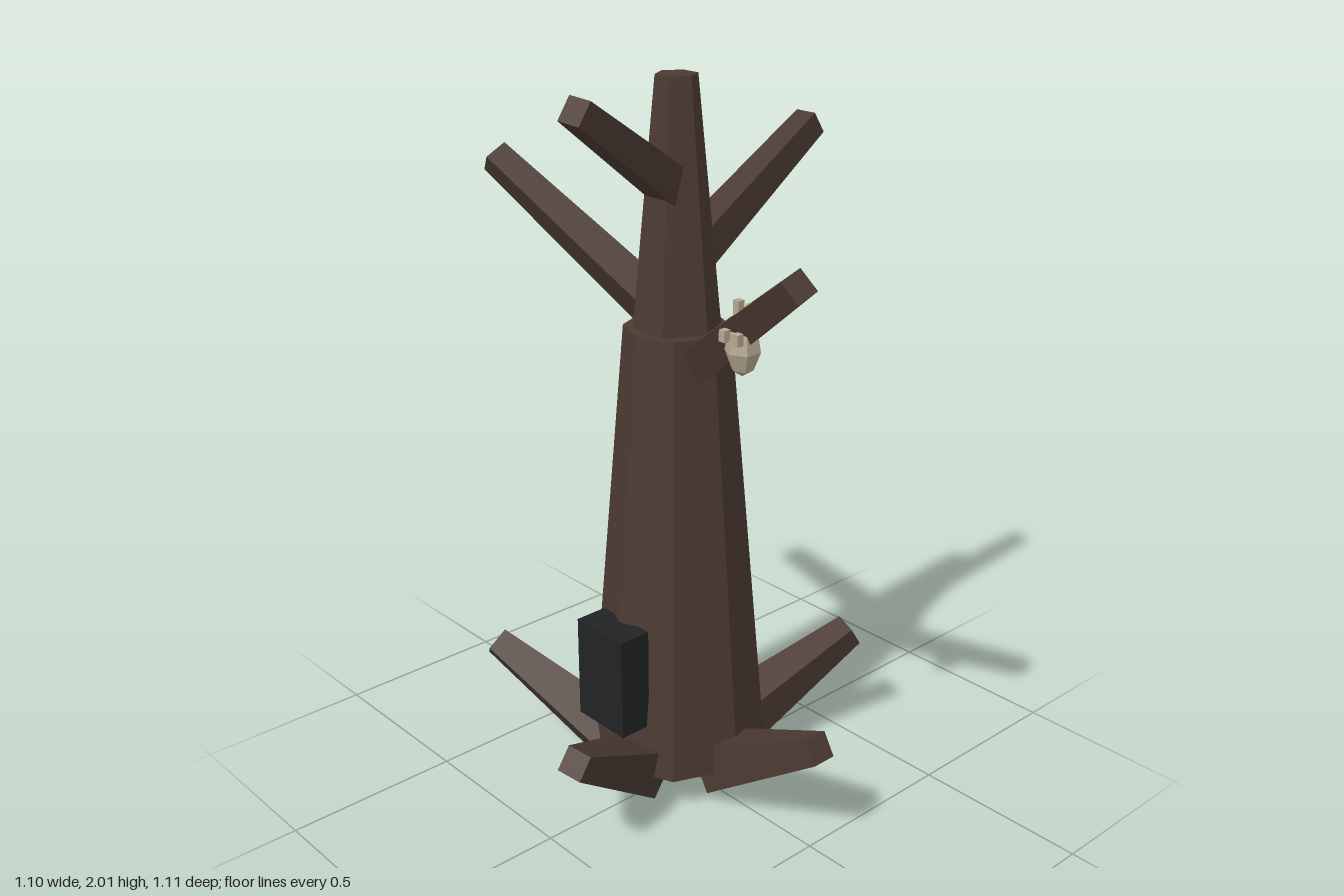
import * as THREE from 'three';

const material = (name, color) => {
  const m = new THREE.MeshStandardMaterial({ color, flatShading: true });
  m.name = name;
  return m;
};

export function createModel() {
  const model = new THREE.Group();
  model.name = 'deadTree';
  const bark = material('darkBark', 0x4b3a32);
  const black = material('hollowBlack', 0x212324);
  const bone = material('paleBone', 0xb5a88f);
  const cx = -0.035; // trunk axis

  const add = (name, geometry, mat, x, y, z) => {
    const mesh = new THREE.Mesh(geometry, mat);
    mesh.name = name;
    mesh.position.set(x, y, z);
    model.add(mesh);
    return mesh;
  };

  // Four-sided tapering limb leaning along a direction (x tilt applied after z tilt)
  const limb = (name, centre, dir, length, rTip, rBase) => {
    const mesh = add(name, new THREE.CylinderGeometry(rTip, rBase, length, 4, 1, false, Math.PI / 4), bark, ...centre.toArray());
    mesh.rotation.set(Math.atan2(dir.z, dir.y), 0, -Math.asin(dir.x));
  };

  // Trunk
  add('lowerTrunk', new THREE.CylinderGeometry(0.142, 0.25, 1.25, 8), bark, cx, 0.725, 0);
  add('upperTrunk', new THREE.CylinderGeometry(0.055, 0.118, 0.65, 6, 1, false, Math.PI / 6), bark, cx, 1.675, 0);

  // Five roots around the base
  const lean = 1.04;
  for (let i = 0; i < 5; i++) {
    const a = (i / 5) * Math.PI * 2;
    const rx = Math.sin(a) * lean;
    const rz = -Math.cos(a) * lean;
    const dir = new THREE.Vector3(-Math.sin(rz), Math.cos(rz) * Math.cos(rx), Math.cos(rz) * Math.sin(rx));
    const centre = new THREE.Vector3(cx + Math.cos(a) * 0.362, 0.203, Math.sin(a) * 0.362);
    limb('root' + (i + 1), centre, dir, 0.455, 0.05, 0.1);
  }

  // Branches, from base point to tip point
  const branches = [
    ['leftBranch', [0.085, 1.29, 0.02], [0.53, 1.61, 0.135]],
    ['rightBranch', [-0.1, 1.4, 0.03], [-0.53, 1.745, 0.205]],
    ['backBranch', [-0.033, 1.53, -0.04], [-0.033, 1.82, -0.48]],
    ['frontBranch', [-0.03, 1.72, 0.02], [0.05, 1.97, 0.39]],
  ];
  for (const [name, from, to] of branches) {
    const a = new THREE.Vector3(...from);
    const b = new THREE.Vector3(...to);
    const dir = b.clone().sub(a);
    const length = dir.length();
    limb(name, a.add(b).multiplyScalar(0.5), dir.normalize(), length, 0.047, 0.067);
  }

  // Dark hollow at the foot of the trunk
  add('hollow', new THREE.BoxGeometry(0.185, 0.295, 0.095), black, cx, 0.3975, 0.2375);

  // Pale ornament hanging under the left branch
  const profile = [[0, -0.06], [0.028, -0.042], [0.046, 0.005], [0.038, 0.052], [0, 0.056]];
  add('ornamentBody', new THREE.LatheGeometry(profile.map(([r, y]) => new THREE.Vector2(r, y)), 6), bone, 0.312, 1.387, 0.098);
  for (const x of [0.29, 0.335]) {
    add('ornamentBackPeg', new THREE.BoxGeometry(0.02, 0.04, 0.02), bone, x, 1.495, 0.092);
    add('ornamentFrontPeg', new THREE.BoxGeometry(0.02, 0.03, 0.02), bone, x, 1.435, 0.138);
  }

  return model;
}
